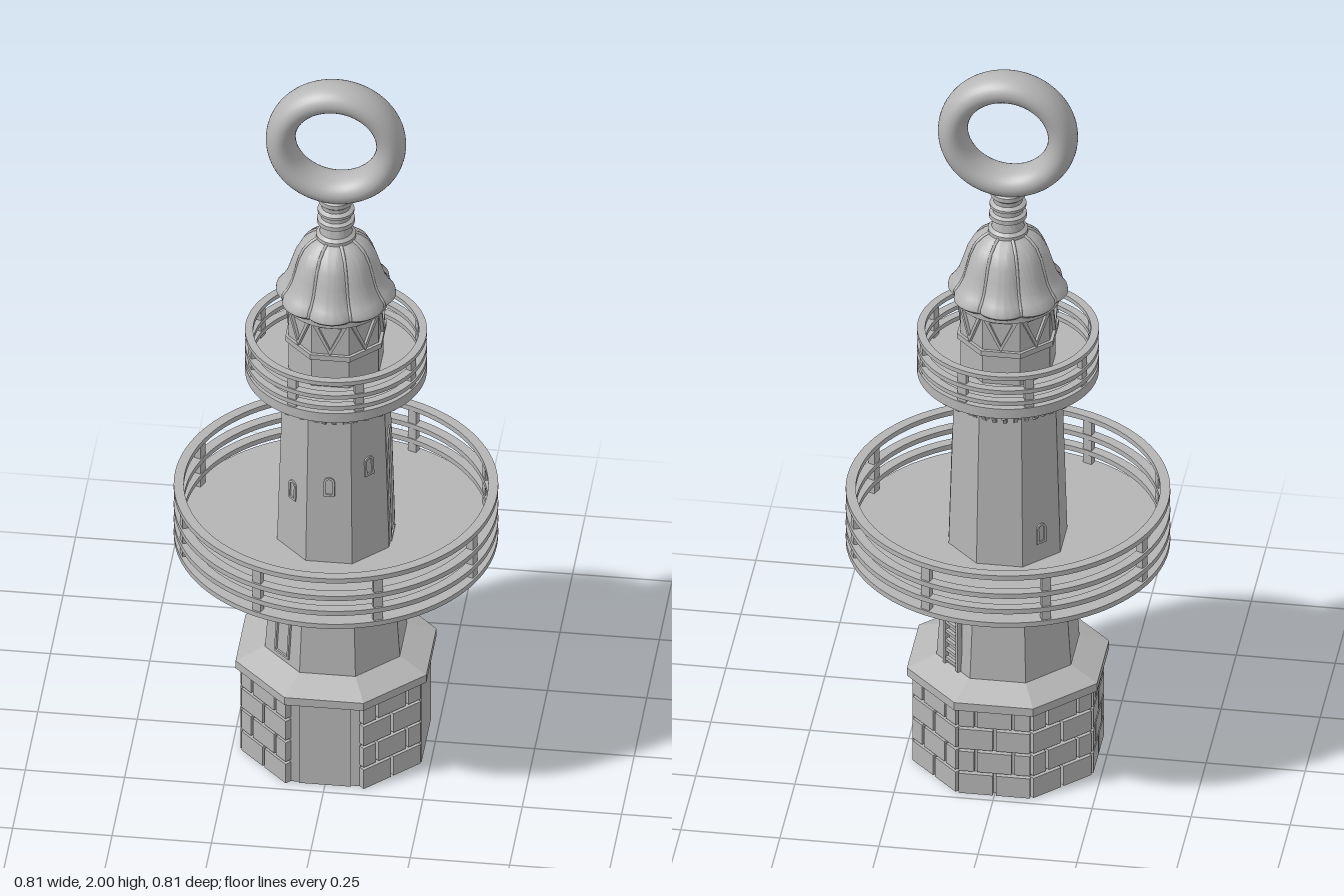
import * as THREE from 'three';
import { toCreasedNormals } from 'three/addons/utils/BufferGeometryUtils.js';

const C8 = Math.cos(Math.PI / 8), T8 = Math.tan(Math.PI / 8);

export function createModel() {
  const root = new THREE.Group();
  const grey = new THREE.MeshStandardMaterial({ color: 0xb5b5b5 });
  grey.name = 'castGrey';

  const add = (name, geo, parent = root) => {
    const m = new THREE.Mesh(geo, grey);
    m.name = name;
    parent.add(m);
    return m;
  };
  // group whose local +z points out of side i of the octagon (0 front, 2 left, 4 back, 6 right)
  const side = (name, i) => {
    const g = new THREE.Group();
    g.name = name;
    g.rotation.y = i * Math.PI / 4;
    root.add(g);
    return g;
  };
  const box = (name, w, h, d, x, y, z, parent) =>
    add(name, new THREE.BoxGeometry(w, h, d), parent).position.set(x, y, z);
  // octagonal frustum between heights, sized by its flat-to-centre distances
  const octagon = (name, a0, y0, a1, y1) => {
    const g = new THREE.CylinderGeometry(a1 / C8, a0 / C8, y1 - y0, 8);
    g.rotateY(Math.PI / 8).translate(0, (y0 + y1) / 2, 0);
    return add(name, toCreasedNormals(g, 0.3));
  };
  const latheGeo = (pts, seg = 64) =>
    new THREE.LatheGeometry(pts.map(p => new THREE.Vector2(p[0], p[1])), seg);
  const lathe = (name, pts, seg) => add(name, toCreasedNormals(latheGeo(pts, seg), 0.5));
  const ring = (name, ri, ro, y0, y1) =>
    lathe(name, [[ri, y0], [ro, y0], [ro, y1], [ri, y1], [ri, y0]], 96);

  // arched outline used for doors and windows
  const arch = (Type, w, h) => {
    const s = new Type();
    s.moveTo(-w, 0);
    s.lineTo(w, 0);
    s.lineTo(w, h - w);
    s.absarc(0, h - w, w, 0, Math.PI, false);
    s.lineTo(-w, 0);
    return s;
  };
  const opening = (name, i, w, y, h, a, lean) => {
    const s = arch(THREE.Shape, w, h), hole = arch(THREE.Path, w - 0.006, h - 0.012);
    s.holes.push(new THREE.Path(hole.getPoints(8).map(p => p.add(new THREE.Vector2(0, 0.006)))));
    const g = new THREE.ExtrudeGeometry(s, { depth: 0.007, bevelEnabled: false, curveSegments: 8 });
    const m = add(name, g, side(name + 'Side', i));
    m.position.set(0, y, a - 0.003);
    m.rotation.x = -lean;
  };

  // base with staggered stone blocks, plain side and front door
  octagon('baseCore', 0.213, 0, 0.213, 0.26);
  for (const i of [1, 3, 4, 5, 6, 7]) {
    const g = side('stoneSide', i), W = 0.188;
    for (let r = 0; r < 4; r++) {
      const cuts = r % 2 ? [0, 0.25, 0.75, 1] : [0, 0.5, 1];
      for (let k = 0; k < cuts.length - 1; k++) {
        const w = (cuts[k + 1] - cuts[k]) * W;
        box('stoneBlock', w - 0.008, 0.058, 0.024, (cuts[k] + cuts[k + 1] - 1) * W / 2, 0.03 + r * 0.066, 0.217, g);
      }
    }
  }
  box('plainPanel', 0.184, 0.258, 0.02, 0, 0.129, 0.217, side('plainSide', 2));
  box('frontDoor', 0.13, 0.24, 0.008, 0, 0.12, 0.214, side('doorSide', 0));
  octagon('baseLedge', 0.24, 0.252, 0.24, 0.275);
  octagon('baseLedgeSlope', 0.24, 0.275, 0.172, 0.305);

  // lower shaft, running on inside the flared platform
  octagon('lowerShaft', 0.17, 0.3, 0.158, 0.48);
  octagon('shaftCore', 0.154, 0.48, 0.15, 0.62);
  opening('lowerDoor', 7, 0.028, 0.32, 0.15, 0.17, 0.066);

  // flared platform support: one side has a ladder slot
  const y0 = 0.48, y1 = 0.62, a0 = 0.158, a1 = 0.368, b0 = a0 * T8, b1 = a1 * T8, w = 0.043;
  const polyGeo = faces => {
    const v = [];
    for (const f of faces)
      for (let k = 1; k < f.length - 1; k++) v.push(...f[0], ...f[k], ...f[k + 1]);
    const g = new THREE.BufferGeometry();
    g.setAttribute('position', new THREE.Float32BufferAttribute(v, 3));
    g.computeVertexNormals();
    return g;
  };
  for (let i = 0; i < 8; i++) {
    const faces = i !== 3
      ? [[[-b0, y0, a0], [b0, y0, a0], [b1, y1, a1], [-b1, y1, a1]]]
      : [
        [[-b0, y0, a0], [-w, y0, a0], [-w, y1, a1], [-b1, y1, a1]],
        [[w, y0, a0], [b0, y0, a0], [b1, y1, a1], [w, y1, a1]],
        [[-w, y0, a0], [-w, y1, a0 - 0.01], [-w, y1, a1]],
        [[w, y0, a0], [w, y1, a1], [w, y1, a0 - 0.01]],
      ];
    add('platformFlare', polyGeo(faces), side('flareSide', i));
  }

  // ladder up into the slot
  const ladder = side('ladder', 3);
  for (const s of [-1, 1]) box('ladderRail', 0.009, 0.31, 0.014, s * 0.027, 0.46, 0.172, ladder);
  for (let k = 0; k < 11; k++) box('ladderRung', 0.05, 0.009, 0.01, 0, 0.32 + k * 0.027, 0.172, ladder);

  // round platform and gallery with railings
  const deck = (name, r, y, thick, rails, railH, inset) => {
    lathe(name + 'Floor', [[0, y - thick], [r, y - thick], [r, y], [0, y]], 96);
    for (const ry of rails) ring(name + 'Rail', r - inset, r, ry - railH, ry);
    const top = rails[rails.length - 1] - 0.004;
    for (let i = 0; i < 8; i++)
      box(name + 'Post', 0.024, top - y, inset * 0.7, 0, (top + y) / 2, r - inset * 0.55, side(name + 'PostSide', i + 0.5));
  };
  deck('platform', 0.405, 0.63, 0.014, [0.67, 0.716, 0.77], 0.014, 0.025);
  deck('gallery', 0.227, 1.15, 0.028, [1.172, 1.205, 1.246], 0.012, 0.02);

  // upper shaft with windows and a door
  octagon('upperShaft', 0.141, 0.625, 0.127, 1.13);
  const apo = y => 0.141 - (y - 0.625) * 0.0277;
  for (const [i, y] of [[0, 0.83], [1, 0.875], [7, 0.785], [5, 0.68]])
    opening('window', i, 0.014, y, 0.056, apo(y), 0.028);
  opening('upperDoor', 2, 0.034, 0.632, 0.325, apo(0.632), 0.028);

  // ribbed corbel beneath the gallery
  lathe('corbel', [[0.125, 1.06], [0.137, 1.075], [0.155, 1.098], [0.185, 1.114], [0.205, 1.124]]);
  const rib = new THREE.Shape();
  rib.moveTo(0.12, 1.045);
  rib.lineTo(0.137, 1.05);
  rib.quadraticCurveTo(0.155, 1.09, 0.213, 1.108);
  rib.lineTo(0.213, 1.125);
  rib.lineTo(0.12, 1.125);
  const ribGeo = new THREE.ExtrudeGeometry(rib, { depth: 0.01, bevelEnabled: false, curveSegments: 6 });
  ribGeo.translate(0, 0, -0.005);
  for (let i = 0; i < 32; i++) add('corbelRib', ribGeo).rotation.y = (i + 0.5) * Math.PI / 16;

  // lantern room with triangular lattice
  octagon('lanternRoom', 0.113, 1.15, 0.113, 1.36);
  octagon('lanternSill', 0.121, 1.235, 0.121, 1.25);
  const tri = (Type, k) => {
    const s = new Type();
    s.moveTo(0, 0.048 - 0.048 * k);
    s.lineTo(0.046 * k, 0.062 + 0.034 * k);
    s.lineTo(-0.046 * k, 0.062 + 0.034 * k);
    s.closePath();
    return s;
  };
  const frame = tri(THREE.Shape, 1);
  frame.holes.push(tri(THREE.Path, 0.66));
  const frameGeo = new THREE.ExtrudeGeometry(frame, { depth: 0.01, bevelEnabled: false });
  frameGeo.translate(0, 1.25, 0.111);
  for (let i = 0; i < 8; i++) add('latticeTriangle', frameGeo, side('latticeSide', i));
  ring('lanternBand', 0.1, 0.131, 1.342, 1.362);

  // lobed dome with ribs in the valleys
  const dome = [[0.1, 1.358], [0.143, 1.358], [0.151, 1.366], [0.149, 1.378], [0.137, 1.392], [0.124, 1.415],
    [0.114, 1.445], [0.103, 1.48], [0.087, 1.51], [0.066, 1.528], [0.045, 1.538]];
  const lobe = (ang, r) => 1 - 0.09 * Math.min(1, r / 0.12) * (1 - Math.abs(Math.cos(4 * ang)) ** 0.8);
  const domeGeo = latheGeo(dome, 128), p = domeGeo.attributes.position;
  for (let i = 0; i < p.count; i++) {
    const x = p.getX(i), z = p.getZ(i), f = lobe(Math.atan2(x, z), Math.hypot(x, z));
    p.setXYZ(i, x * f, p.getY(i), z * f);
  }
  add('dome', toCreasedNormals(domeGeo, 0.7));
  const ribPath = new THREE.CatmullRomCurve3(dome.slice(2).map(([r, y]) =>
    new THREE.Vector3(0, y, r * lobe(Math.PI / 8, r))));
  const domeRib = new THREE.TubeGeometry(ribPath, 20, 0.0045, 6);
  for (let i = 0; i < 8; i++) add('domeRib', domeRib, side('domeRibSide', i + 0.5));

  // finial
  lathe('finial', [[0.05, 1.53], [0.05, 1.545], [0.041, 1.552], [0.037, 1.575], [0.047, 1.58], [0.047, 1.592],
    [0.038, 1.597], [0.038, 1.608], [0.046, 1.613], [0.046, 1.62], [0.036, 1.626], [0.037, 1.638],
    [0.044, 1.644], [0.044, 1.656], [0.03, 1.67], [0, 1.67]], 48);

  // hanging ring, deeper than its wall is thick
  const hoop = new THREE.TorusGeometry(0.139, 0.037, 32, 80);
  hoop.scale(1, 1, 1.43);
  add('hangingRing', hoop).position.y = 1.824;

  return root;
}
